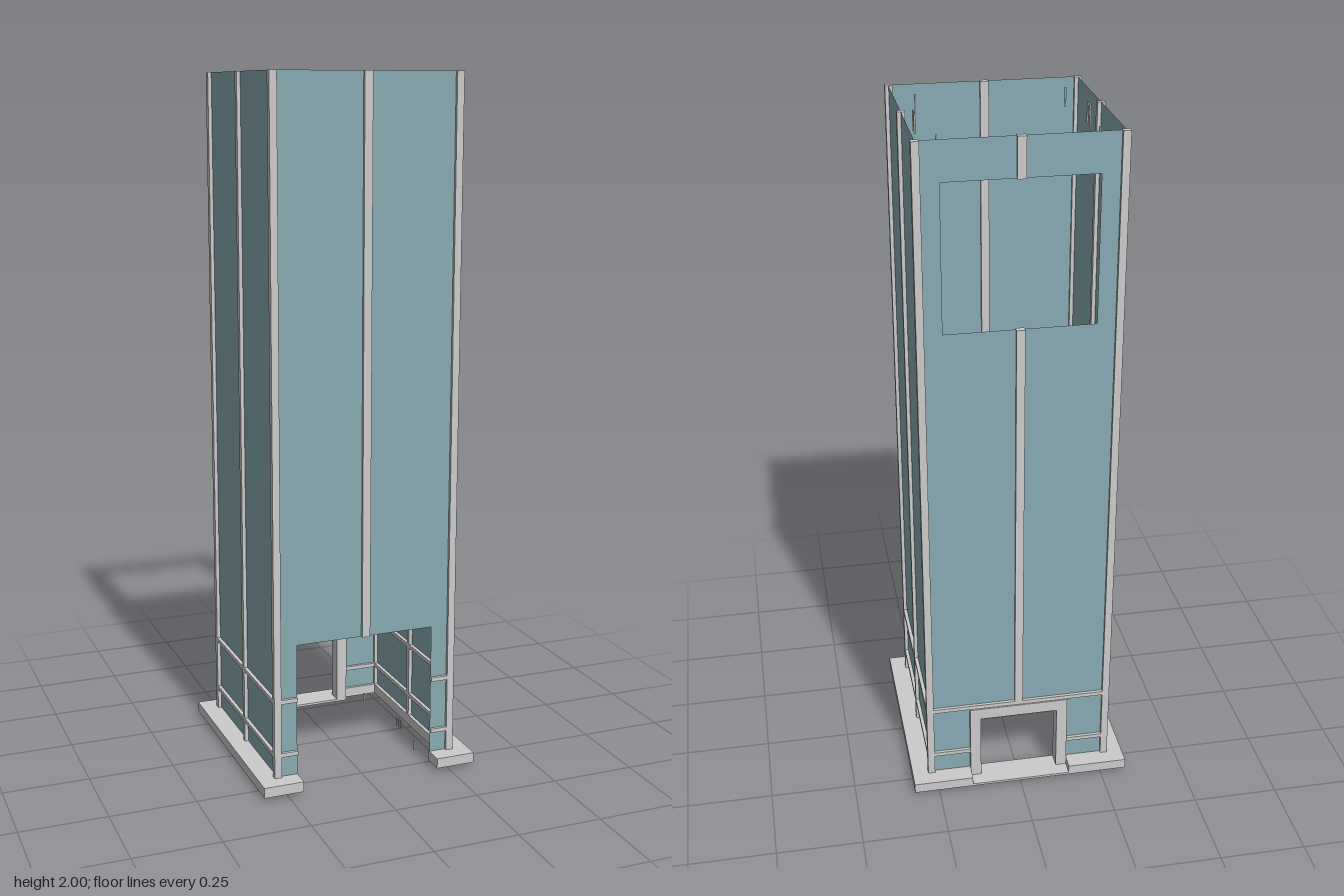
import * as THREE from 'three';

const grey = new THREE.MeshStandardMaterial({ color: 0xcccccc });
const glass = new THREE.MeshStandardMaterial({ color: 0x88aab3, side: THREE.DoubleSide });

const TOP = 2, FLOOR = 0.043, BASE = 0.013;
const X0 = 0.257, X1 = 0.278;          // inner and outer faces of the side framing
const F0 = 0.262, F1 = 0.28;           // front framing
const B0 = -0.265, B1 = -0.284;        // back framing
const OPEN = 0.207;                    // half width of the large openings
const OUT = 0.325;                     // half width of the base

export function createModel() {
  const model = new THREE.Group();

  // Box given by its minimum and maximum on each axis
  const box = (name, xa, xb, ya, yb, za, zb) => {
    const mesh = new THREE.Mesh(
      new THREE.BoxGeometry(Math.abs(xb - xa), Math.abs(yb - ya), Math.abs(zb - za)), grey);
    mesh.position.set((xa + xb) / 2, (ya + yb) / 2, (za + zb) / 2);
    mesh.name = name;
    model.add(mesh);
  };
  const pair = (name, xa, xb, ...rest) => {
    box(name + 'Left', xa, xb, ...rest);
    box(name + 'Right', -xb, -xa, ...rest);
  };

  // Glass sheet from an outline, with optional rectangular holes
  const pane = (name, outline, holes = []) => {
    const toPoints = (pts) => pts.map(([x, y]) => new THREE.Vector2(x, y));
    const shape = new THREE.Shape(toPoints(outline));
    for (const [xa, xb, ya, yb] of holes)
      shape.holes.push(new THREE.Path(toPoints([[xa, ya], [xa, yb], [xb, yb], [xb, ya]])));
    const mesh = new THREE.Mesh(new THREE.ShapeGeometry(shape), glass);
    mesh.name = name;
    model.add(mesh);
    return mesh;
  };
  // Wall outline with a doorway cut up from the bottom
  const archWall = (half, doorHalf, doorTop) => [
    [-half, FLOOR], [-doorHalf, FLOOR], [-doorHalf, doorTop], [doorHalf, doorTop],
    [doorHalf, FLOOR], [half, FLOOR], [half, TOP], [-half, TOP]];

  // Base kerb, open at the front and at the back door
  pair('baseSide', X0, OUT, BASE, FLOOR, -0.33, 0.327);
  pair('baseFront', OPEN, X0, BASE, FLOOR, F0, 0.327);
  pair('baseBack', 0.148, X0, BASE, FLOOR, -0.33, B0);
  box('threshold', -0.148, 0.148, BASE, 0.02, -0.33, -0.242);

  // Corner and middle posts
  pair('frontCornerPost', X0, X1, FLOOR, TOP, F0, F1);
  pair('backCornerPost', X0, X1, FLOOR, TOP, B1, B0);
  pair('sideMiddlePost', X0, X1, FLOOR, TOP, -0.01, 0.007);
  box('frontMiddlePost', -0.012, 0.012, 0.43, TOP, F0, F1);
  box('backMiddlePost', -0.012, 0.012, 0.25, 1.48, B1, B0);
  box('backMiddlePostTop', -0.012, 0.012, 1.89, TOP, B1, B0);

  // Horizontal rails
  for (const y of [0.11, 0.27]) {
    const a = y - 0.006, b = y + 0.006;
    pair('sideRail', X0, X1, a, b, B0, F0);
    pair('frontRail', OPEN, X0, a, b, F0, F1);
    pair('backRail', y < 0.2 ? 0.148 : 0, X0, a, b, B1, B0);
  }

  // Door frame in the back wall
  pair('doorJamb', 0.116, 0.148, 0.02, 0.228, -0.288, -0.242);
  box('doorHeader', -0.148, 0.148, 0.228, 0.264, -0.288, -0.242);

  // Glass walls
  const xm = (X0 + X1) / 2;
  pane('frontGlass', archWall(xm, OPEN, 0.43)).position.z = (F0 + F1) / 2;
  pane('backGlass', archWall(xm, 0.13, 0.24), [[-OPEN, OPEN, 1.48, 1.89]])
    .position.z = (B0 + B1) / 2;
  for (const s of [-1, 1]) {
    const side = pane('sideGlass', [[-0.271, FLOOR], [0.274, FLOOR], [0.274, TOP], [-0.271, TOP]]);
    side.rotation.y = Math.PI / 2;
    side.position.x = s * xm;
  }

  // Short pins at the top and bottom of the shaft
  const spots = [[0.208, -0.235], [0.208, 0.16], [0.234, -0.024], [0.234, -0.01], [0.234, 0.005]];
  for (const [x, z] of spots) {
    pair('topPin', x - 0.002, x + 0.002, 1.945, TOP, z - 0.002, z + 0.002);
    pair('bottomPin', x - 0.002, x + 0.002, 0, 0.03, z - 0.002, z + 0.002);
  }
  return model;
}
